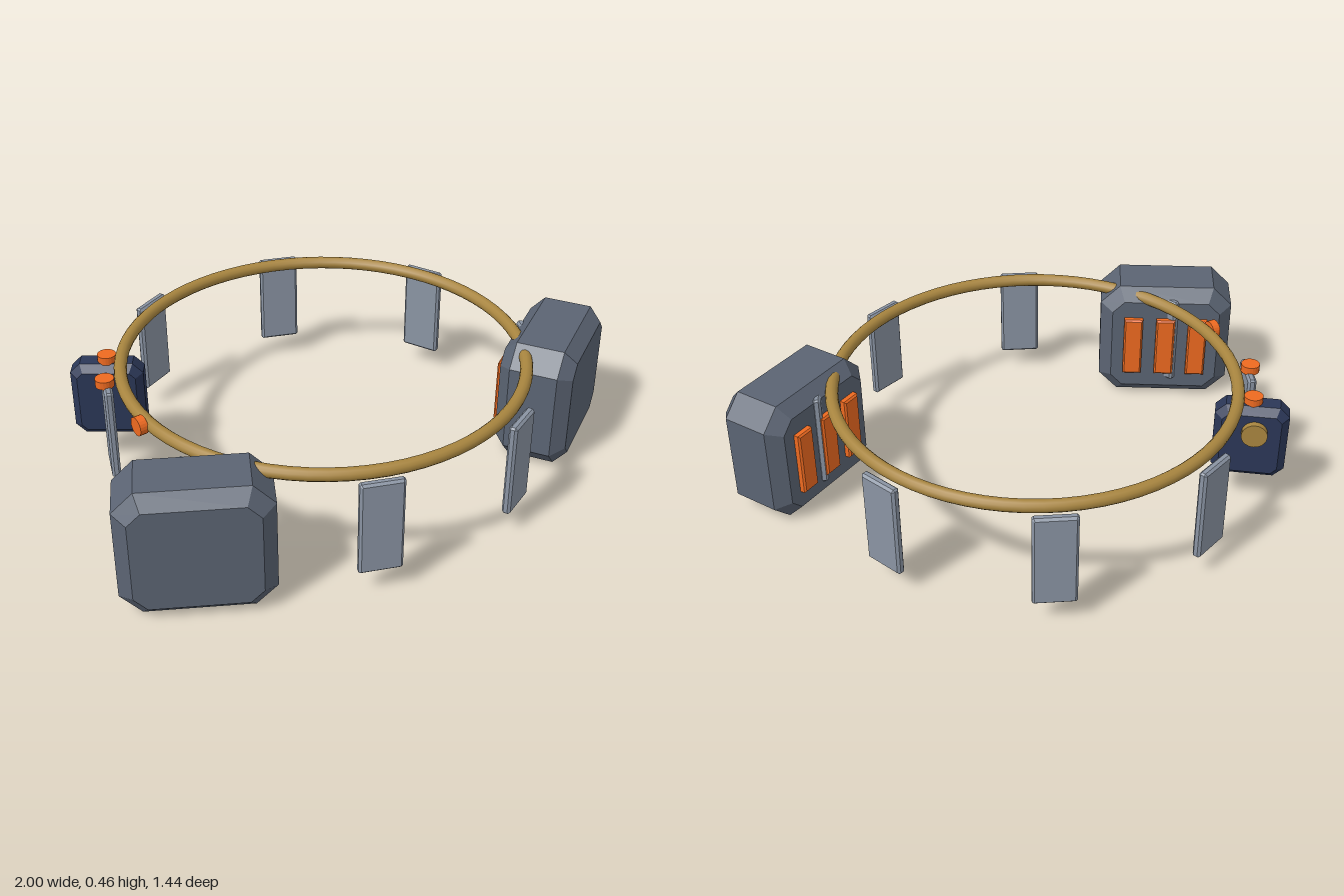
import * as THREE from 'three';

const mat = (color) => new THREE.MeshStandardMaterial({ color, flatShading: true });
const brass = new THREE.MeshStandardMaterial({ color: 0xa8853f });
const steel = mat(0x8a94a3);
const slate = mat(0x5b6473);
const navy = mat(0x2b3757);
const orange = mat(0xee6a20);

function add(parent, name, geometry, material, x = 0, y = 0, z = 0) {
  const mesh = new THREE.Mesh(geometry, material);
  mesh.name = name;
  mesh.position.set(x, y, z);
  parent.add(mesh);
  return mesh;
}

// Box with cut corners in its outline and bevelled front and back edges
function chamferBox(w, h, d, corner, bevel) {
  const a = w / 2 - bevel, b = h / 2 - bevel;
  const c = Math.max(corner - 0.586 * bevel, 0);
  const points = c > 0
    ? [[a, -b + c], [a, b - c], [a - c, b], [-a + c, b], [-a, b - c], [-a, -b + c], [-a + c, -b], [a - c, -b]]
    : [[a, -b], [a, b], [-a, b], [-a, -b]];
  const shape = new THREE.Shape(points.map(([x, y]) => new THREE.Vector2(x, y)));
  const geometry = new THREE.ExtrudeGeometry(shape, {
    depth: d - 2 * bevel, bevelEnabled: true, bevelSegments: 1, bevelSize: bevel, bevelThickness: bevel,
  });
  return geometry.translate(0, 0, -(d / 2 - bevel));
}

export function createModel() {
  const model = new THREE.Group();
  model.name = 'equipmentRing';

  // Main hoop
  const hoop = add(model, 'hoop', new THREE.TorusGeometry(0.69, 0.022, 12, 72), brass, 0, 0.42, 0);
  hoop.rotation.x = Math.PI / 2;

  // Eight hanging plates around the hoop
  const plateGeometry = chamferBox(0.144, 0.34, 0.03, 0.006, 0.008);
  for (let i = 0; i < 8; i++) {
    const angle = (i + 0.5) * Math.PI / 4;
    const plate = add(model, 'hangingPlate', plateGeometry, steel,
      0.74 * Math.sin(angle), 0.25, 0.74 * Math.cos(angle));
    plate.rotation.y = angle;
  }

  // Two large side packs with three vents on the rear face
  const packGeometry = chamferBox(0.49, 0.455, 0.257, 0.07, 0.045);
  const ventGeometry = chamferBox(0.07, 0.235, 0.035, 0, 0.006);
  for (const side of [-1, 1]) {
    const pack = new THREE.Group();
    pack.name = side > 0 ? 'leftPack' : 'rightPack';
    pack.position.set(side * 0.744, 0.2275, 0.355);
    pack.rotation.y = side * Math.PI / 6;
    add(pack, 'packBody', packGeometry, slate);
    for (const i of [-1, 0, 1]) add(pack, 'vent', ventGeometry, orange, i * 0.12, 0, -0.134);
    model.add(pack);
  }

  // Pouch standing edge-on to the hoop, with a brass knob on one face
  const pouch = new THREE.Group();
  pouch.name = 'pouch';
  pouch.position.set(-0.6, 0.265, -0.437);
  pouch.rotation.y = Math.PI - 0.63;
  add(pouch, 'pouchBody', chamferBox(0.25, 0.28, 0.105, 0.035, 0.025), navy);
  const knob = add(pouch, 'knob', new THREE.CylinderGeometry(0.044, 0.044, 0.03, 20), brass, 0.012, 0.05, 0.06);
  knob.rotation.x = Math.PI / 2;
  model.add(pouch);

  // Orange buttons: two facing up, one facing sideways
  const buttonGeometry = new THREE.CylinderGeometry(0.032, 0.032, 0.028, 20);
  add(model, 'button', buttonGeometry, orange, -0.6, 0.415, -0.435);
  add(model, 'button', buttonGeometry, orange, -0.69, 0.428, -0.283);
  const sideButton = add(model, 'button', buttonGeometry, orange, -0.72, 0.42, 0);
  sideButton.rotation.z = Math.PI / 2;

  return model;
}
